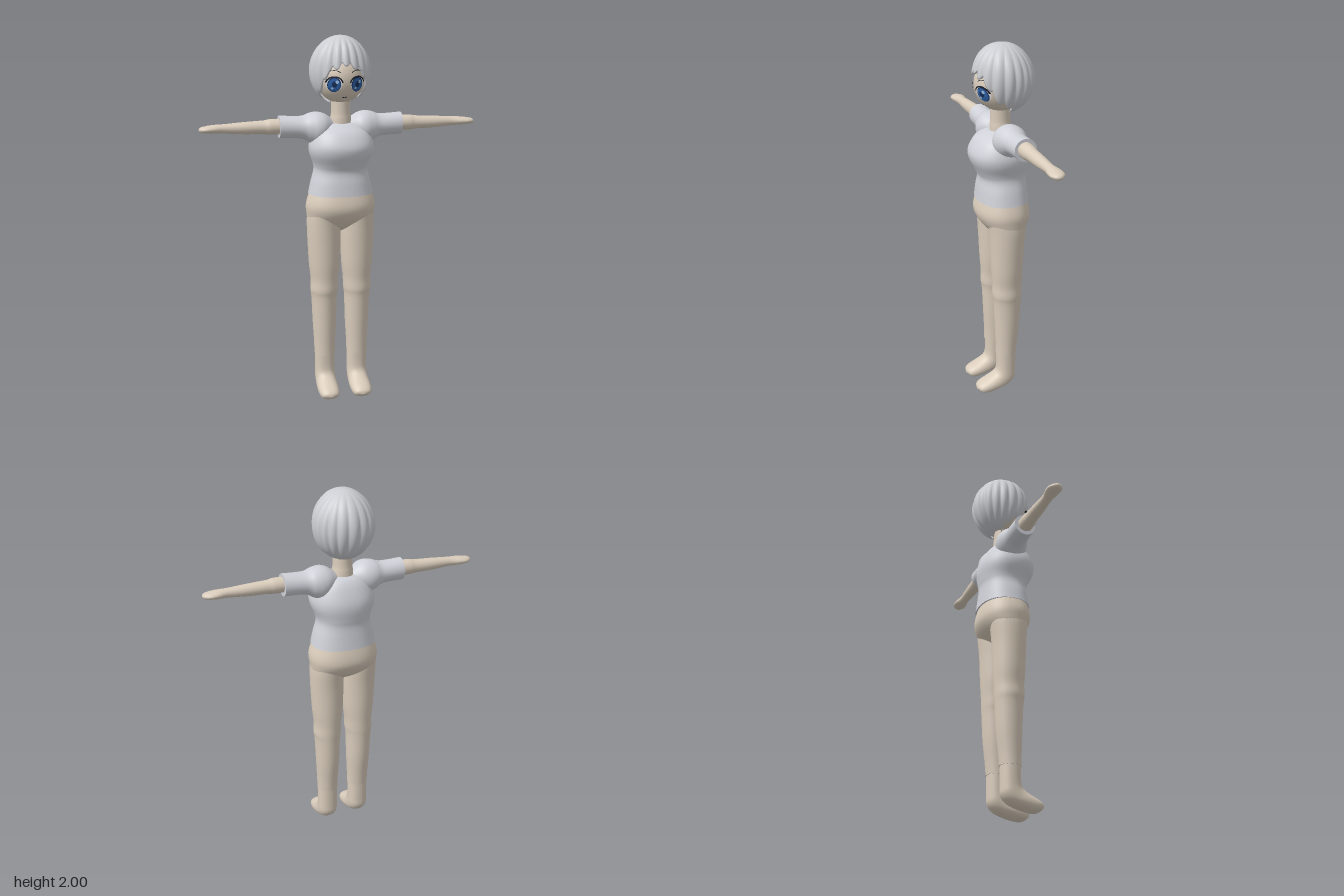
import * as THREE from 'three';

const mat = (name, color, side = THREE.FrontSide) => {
  const m = new THREE.MeshStandardMaterial({ color, side });
  m.name = name;
  return m;
};

// Catmull-Rom resampling of rows of numbers
function smooth(rows, k = 5) {
  const out = [], at = i => rows[Math.max(0, Math.min(rows.length - 1, i))];
  for (let i = 0; i < rows.length - 1; i++) {
    for (let s = 0; s < k; s++) {
      const t = s / k;
      out.push(rows[i].map((p1, c) => {
        const p0 = at(i - 1)[c], p2 = at(i + 1)[c], p3 = at(i + 2)[c];
        return p1 + 0.5 * t * (p2 - p0 + t * (2 * p0 - 5 * p1 + 4 * p2 - p3 + t * (3 * (p1 - p2) + p3 - p0)));
      }));
    }
  }
  out.push(rows[rows.length - 1]);
  return out;
}

// Skin over rings { c, u, v }, where u x v points along the loft; power < 1 squares the section
function loft(rings, power = 1, n = 36) {
  const pos = [], idx = [];
  const bend = a => Math.sign(a) * Math.pow(Math.abs(a), power);
  const addRing = r => {
    for (let j = 0; j < n; j++) {
      const a = (j / n) * Math.PI * 2, cu = bend(Math.cos(a)), sv = bend(Math.sin(a));
      pos.push(...[0, 1, 2].map(k => r.c[k] + r.u[k] * cu + r.v[k] * sv));
    }
  };
  rings.forEach(addRing);
  for (let i = 0; i < rings.length - 1; i++) {
    for (let j = 0; j < n; j++) {
      const a = i * n + j, b = i * n + (j + 1) % n;
      idx.push(a, b, a + n, b, b + n, a + n);
    }
  }
  // end caps with their own vertices
  [rings[0], rings[rings.length - 1]].forEach((r, end) => {
    const base = pos.length / 3;
    addRing(r);
    pos.push(...r.c);
    for (let j = 0; j < n; j++) {
      const a = base + j, b = base + (j + 1) % n;
      idx.push(...(end ? [base + n, a, b] : [base + n, b, a]));
    }
  });
  const g = new THREE.BufferGeometry();
  g.setAttribute('position', new THREE.Float32BufferAttribute(pos, 3));
  g.setIndex(idx);
  g.computeVertexNormals();
  return g;
}

// Downward loft, rows: [y, centre x, half width, front z, back z]
const upright = (rows, power) => loft(smooth(rows).map(([y, x, w, f, b]) =>
  ({ c: [x, y, (f + b) / 2], u: [w, 0, 0], v: [0, 0, (f - b) / 2] })), power);

// Sideways loft, rows: [x, centre y, half height, centre z, half depth]
const sideways = (rows, s) => loft(smooth(rows).map(([x, y, h, z, d]) =>
  ({ c: [s * x, y, z], u: [0, h, 0], v: [0, 0, s * d] })));

const HEAD = { y: 1.787, rx: 0.135, ry: 0.143, rz: 0.14 };

// Thin patch wrapped onto the face
function facePatch(x, y, rx, ry, lift, inner = 0, start = 0, arc = Math.PI * 2) {
  const g = new THREE.RingGeometry(inner, 1, 32, 5, start, arc), p = g.attributes.position;
  for (let i = 0; i < p.count; i++) {
    const px = x + p.getX(i) * rx, py = y + p.getY(i) * ry;
    const k = 1 - (px / HEAD.rx) ** 2 - ((py - HEAD.y) / HEAD.ry) ** 2;
    p.setXYZ(i, px, py, HEAD.rz * Math.sqrt(Math.max(0, k)) + lift);
  }
  g.computeVertexNormals();
  return g;
}

// Ridged hair cap, short over the face and long at the back
function hairGeometry() {
  const n = 180, m = 30, pos = [], idx = [];
  const hem = [[0, 1.865], [14, 1.85], [34, 1.83], [46, 1.77], [60, 1.725], [80, 1.695], [105, 1.65], [180, 1.637]];
  const hemAt = d => {
    const i = Math.max(1, hem.findIndex(h => h[0] >= d)), [a, b] = [hem[i - 1], hem[i]];
    return a[1] + (b[1] - a[1]) * (d - a[0]) / (b[0] - a[0]);
  };
  for (let i = 0; i <= m; i++) {
    for (let j = 0; j < n; j++) {
      const th = (j / n) * Math.PI * 2, d = Math.min(j, n - j) * 360 / n;
      const lock = Math.abs(Math.cos(th * 9 + 0.5 * Math.sin(th * 3)));
      const jag = d < 110 ? 0.03 * (lock - 0.5) : 0.006 * (lock - 0.5);
      const end = Math.acos(Math.max(-0.97, (hemAt(d) - jag - 1.815) / 0.185));
      const lip = i === m, t = Math.min(1, i / (m - 1)), phi = end * t;
      const front = Math.max(0, Math.cos(th));
      const r = Math.pow(Math.sin(phi), 1 - 0.25 * front) * (0.94 + 0.07 * lock * Math.min(1, t * 2)) * (lip ? 0.9 : 1);
      pos.push(0.163 * r * Math.sin(th), 1.815 + 0.185 * Math.cos(phi), -0.015 + 0.164 * r * Math.cos(th));
      if (i < m) {
        const a = i * n + j, b = i * n + (j + 1) % n;
        idx.push(a, a + n, b, b, a + n, b + n);
      }
    }
  }
  const g = new THREE.BufferGeometry();
  g.setAttribute('position', new THREE.Float32BufferAttribute(pos, 3));
  g.setIndex(idx);
  g.computeVertexNormals();
  return g;
}

export function createModel() {
  const root = new THREE.Group();
  root.name = 'figure';
  const skin = mat('skin', 0xd9ccbb), cloth = mat('shirt', 0xcfd1d8);
  const hair = mat('hair', 0xcccdd2, THREE.DoubleSide);
  const dark = mat('lash', 0x1c1f2b), white = mat('eyeWhite', 0xf2f2f4);
  const blue = mat('iris', 0x2f62a8), navy = mat('pupil', 0x18305c), shine = mat('eyeShine', 0xa9cdf0);
  const add = (name, geo, material) => {
    const mesh = new THREE.Mesh(geo, material);
    mesh.name = name;
    root.add(mesh);
    return mesh;
  };

  // Head, neck and hair
  const head = add('head', new THREE.SphereGeometry(1, 48, 32), skin);
  head.scale.set(HEAD.rx, HEAD.ry, HEAD.rz);
  head.position.y = HEAD.y;
  add('neck', upright([[1.7, 0, 0.05, 0.055, -0.05], [1.6, 0, 0.051, 0.055, -0.052], [1.56, 0, 0.057, 0.058, -0.056],
    [1.5, 0, 0.065, 0.06, -0.06]]), skin);
  add('hair', hairGeometry(), hair);

  // Shirt body
  add('shirtBody', upright([
    [1.54, 0, 0.065, 0.055, -0.06], [1.525, 0, 0.11, 0.09, -0.085], [1.49, 0, 0.15, 0.135, -0.11],
    [1.43, 0, 0.173, 0.168, -0.135], [1.38, 0, 0.172, 0.165, -0.142], [1.32, 0, 0.15, 0.135, -0.135],
    [1.28, 0, 0.147, 0.12, -0.13], [1.22, 0, 0.163, 0.128, -0.135], [1.155, 0, 0.177, 0.135, -0.142],
  ], 0.88), cloth);

  // Hips
  add('hips', upright([
    [1.17, 0, 0.168, 0.125, -0.13], [1.1, 0, 0.189, 0.14, -0.145], [1.05, 0, 0.188, 0.13, -0.142],
    [1.0, 0, 0.176, 0.095, -0.11], [0.96, 0, 0.12, 0.05, -0.06], [0.94, 0, 0.03, 0.01, -0.02],
  ], 0.9), skin);

  // Mouth
  add('mouth', facePatch(0, 1.69, 0.016, 0.009, 0.003, 0.6, Math.PI * 1.1, Math.PI * 0.8), dark);

  for (const s of [1, -1]) {
    const side = s > 0 ? 'left' : 'right';

    // Sleeve and arm
    add(side + 'Sleeve', sideways([
      [0.045, 1.52, 0.04, -0.005, 0.045], [0.09, 1.515, 0.075, 0, 0.08], [0.13, 1.51, 0.09, 0, 0.09],
      [0.17, 1.515, 0.08, -0.003, 0.082], [0.22, 1.52, 0.06, -0.003, 0.066], [0.335, 1.525, 0.06, -0.005, 0.06],
    ], s), cloth);
    add(side + 'Arm', sideways([
      [0.3, 1.527, 0.041, -0.003, 0.042], [0.38, 1.527, 0.041, -0.003, 0.041], [0.42, 1.526, 0.036, -0.004, 0.036],
      [0.52, 1.525, 0.032, -0.004, 0.033], [0.62, 1.525, 0.025, -0.004, 0.028], [0.68, 1.525, 0.022, -0.005, 0.038],
      [0.72, 1.524, 0.018, -0.004, 0.038], [0.748, 1.523, 0.013, -0.002, 0.022], [0.757, 1.523, 0.003, -0.002, 0.004],
    ], s), skin);

    // Leg
    add(side + 'Leg', upright([
      [1.06, 0.094, 0.088, 0.105, -0.11], [1.0, 0.094, 0.093, 0.098, -0.105], [0.9, 0.093, 0.092, 0.092, -0.095],
      [0.76, 0.092, 0.086, 0.086, -0.09], [0.67, 0.092, 0.077, 0.08, -0.085], [0.61, 0.094, 0.077, 0.081, -0.083],
      [0.56, 0.094, 0.071, 0.074, -0.08], [0.42, 0.093, 0.066, 0.068, -0.073], [0.3, 0.093, 0.06, 0.063, -0.06],
      [0.23, 0.093, 0.058, 0.062, -0.054],
    ].map(([y, x, ...rest]) => [y, x * s, ...rest])), skin);

    // Foot, rows: [front y, front z, back y, back z, half width]
    add(side + 'Foot', loft(smooth([
      [0.236, 0.058, 0.236, -0.05, 0.055], [0.15, 0.058, 0.13, -0.05, 0.055], [0.118, 0.068, 0.075, -0.046, 0.056],
      [0.1, 0.09, 0.036, -0.012, 0.057], [0.082, 0.122, 0.012, 0.055, 0.059], [0.064, 0.158, 0.001, 0.115, 0.055],
      [0.046, 0.178, 0.004, 0.153, 0.042], [0.028, 0.182, 0.022, 0.178, 0.008],
    ]).map(([fy, fz, by, bz, w]) => ({
      c: [s * 0.093, (fy + by) / 2, (fz + bz) / 2], u: [w, 0, 0], v: [0, (fy - by) / 2, (fz - bz) / 2],
    })), 0.9), skin);

    // Eye layers and brow
    const x = s * 0.061;
    add(side + 'EyeWhite', facePatch(x, 1.755, 0.04, 0.036, 0.002), white);
    add(side + 'EyeRim', facePatch(x, 1.754, 0.033, 0.039, 0.0035), navy);
    add(side + 'Iris', facePatch(x, 1.752, 0.03, 0.035, 0.005), blue);
    add(side + 'Pupil', facePatch(x, 1.755, 0.012, 0.016, 0.0065), navy);
    add(side + 'EyeShine', facePatch(x + 0.012, 1.768, 0.008, 0.009, 0.008), shine);
    add(side + 'EyeShineLow', facePatch(x - 0.01, 1.735, 0.006, 0.006, 0.008), shine);
    add(side + 'Lash', facePatch(x, 1.757, 0.045, 0.042, 0.007, 0.84, Math.PI * 0.06, Math.PI * 0.88), dark);
    add(side + 'Brow', facePatch(x, 1.795, 0.042, 0.034, 0.003, 0.9, Math.PI * 0.22, Math.PI * 0.56), dark);
  }
  return root;
}
